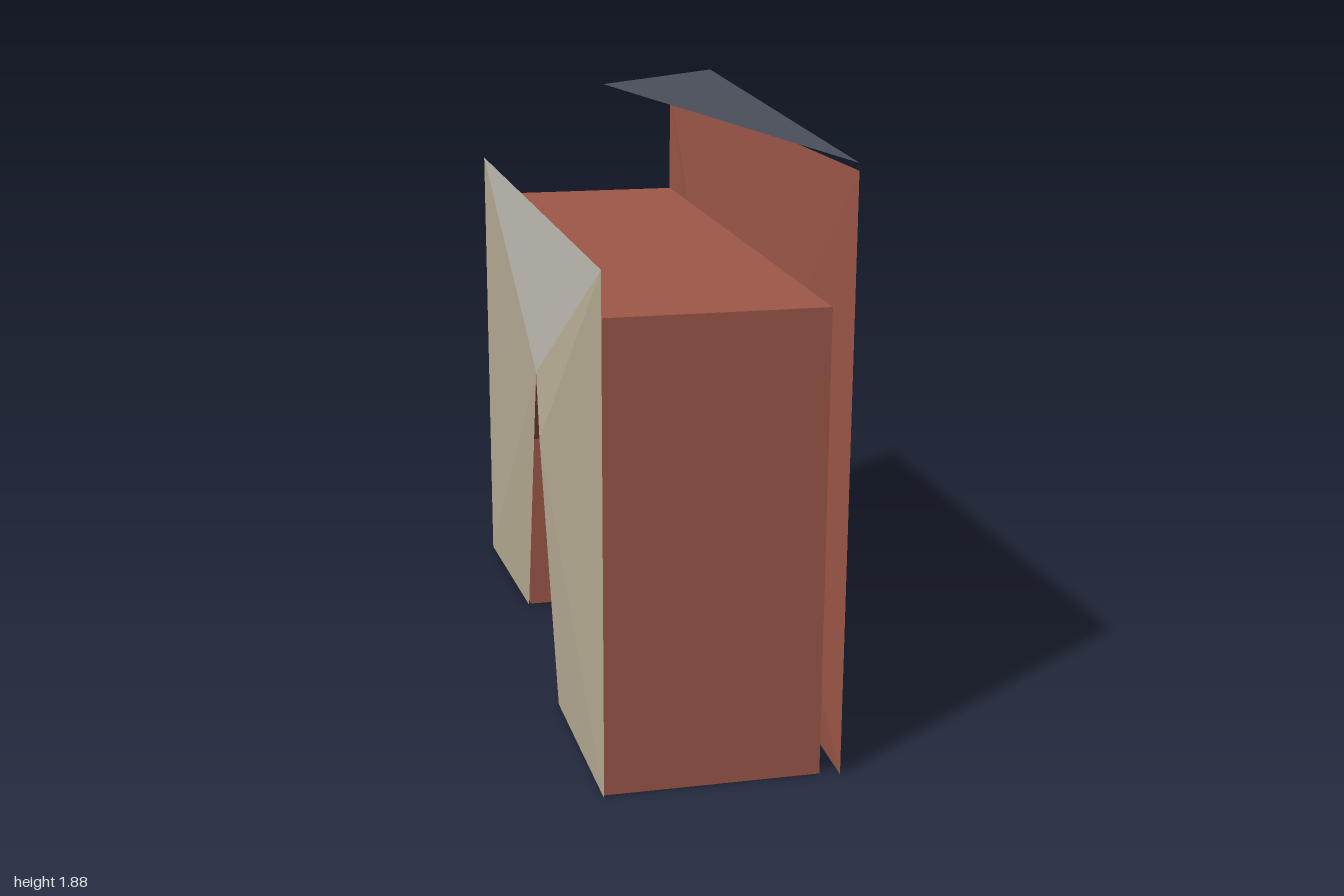
import * as THREE from 'three';

const material = (name, color, side = THREE.DoubleSide) => {
  const m = new THREE.MeshStandardMaterial({ color, side });
  m.name = name;
  return m;
};

// Flat-shaded faceted sheet from outline points and triangles given by point letters.
function sheet(name, points, triangles, mat) {
  const positions = triangles.flatMap((t) => [...t].flatMap((k) => points[k]));
  const geo = new THREE.BufferGeometry();
  geo.setAttribute('position', new THREE.Float32BufferAttribute(positions, 3));
  geo.computeVertexNormals();
  const mesh = new THREE.Mesh(geo, mat);
  mesh.name = name;
  return mesh;
}

export function createModel() {
  const brick = material('brick', 0x9e5848);
  const beige = material('beigeStone', 0xb8ad95);
  const grey = material('greyStone', 0xc6c3b9);
  const slate = material('slate', 0x555b68);

  const model = new THREE.Group();
  model.name = 'gatehouse';

  // Main block with a faceted passage cut through it, turned on plan
  const halfLength = 0.974, depth = 0.618;
  const outline = [
    [-halfLength, 0], [-0.41, 0], [-0.41, 0.6], [-0.21, 0.85],
    [0.19, 0.85], [0.41, 0.6], [0.41, 0], [halfLength, 0],
    [halfLength, 1.35], [-halfLength, 1.35],
  ].map(([x, y]) => new THREE.Vector2(x, y));
  const blockGeo = new THREE.ExtrudeGeometry(new THREE.Shape(outline), { depth, bevelEnabled: false });
  blockGeo.translate(0, 0, -depth / 2);
  // The passage spring line rises toward the front on one side
  const p = blockGeo.attributes.position;
  for (let i = 0; i < p.count; i++) {
    if (p.getZ(i) > 0 && Math.abs(p.getX(i) + 0.41) < 0.001 && p.getY(i) > 0.5) p.setY(i, 0.7);
  }
  blockGeo.computeVertexNormals();
  const block = new THREE.Mesh(blockGeo, brick);
  block.name = 'mainBlock';
  block.rotation.y = 0.891;
  model.add(block);

  // Tall front wall with an uneven arch
  const front = {
    A: [-0.34, 0, 1], B: [0.03, 0, 0.54], C: [0.06, 0.74, 0.43], D: [0.14, 0.82, 0.315],
    E: [0.36, 0.795, 0.04], F: [0.45, 0.66, -0.06], G: [0.49, 0, -0.11],
    H: [0.865, 0, -0.575], I: [0.865, 1.71, -0.575], J: [-0.34, 1.71, 1],
  };
  model.add(sheet('frontWall', front, ['ABC', 'ACJ', 'JCD', 'JDE', 'JEI', 'IEF', 'IFG', 'IGH'], brick));

  // Lower back wall: stone sides and a grey panel over the arch
  const back = {
    A: [0.335, 0, -1], B: [0.005, 0, -0.51], D: [-0.185, 0.92, -0.283], E: [-0.47, 0.82, -0.01],
    F: [-0.51, 0, 0.09], H: [-0.865, 0, 0.575], I: [-0.865, 1.48, 0.575], J: [0.335, 1.48, -1],
  };
  model.add(sheet('backWall', back, ['ABD', 'ADJ', 'IDE', 'EFH', 'EHI'], beige));
  model.add(sheet('backWallPanel', back, ['JDI'], grey));

  // Triangular gable floating just above the front wall
  const gable = { A: [-0.34, 1.73, 1], B: [0.675, 1.73, -0.73], C: [0.165, 1.875, 0.135] };
  model.add(sheet('gable', gable, ['ABC'], slate));

  return model;
}
